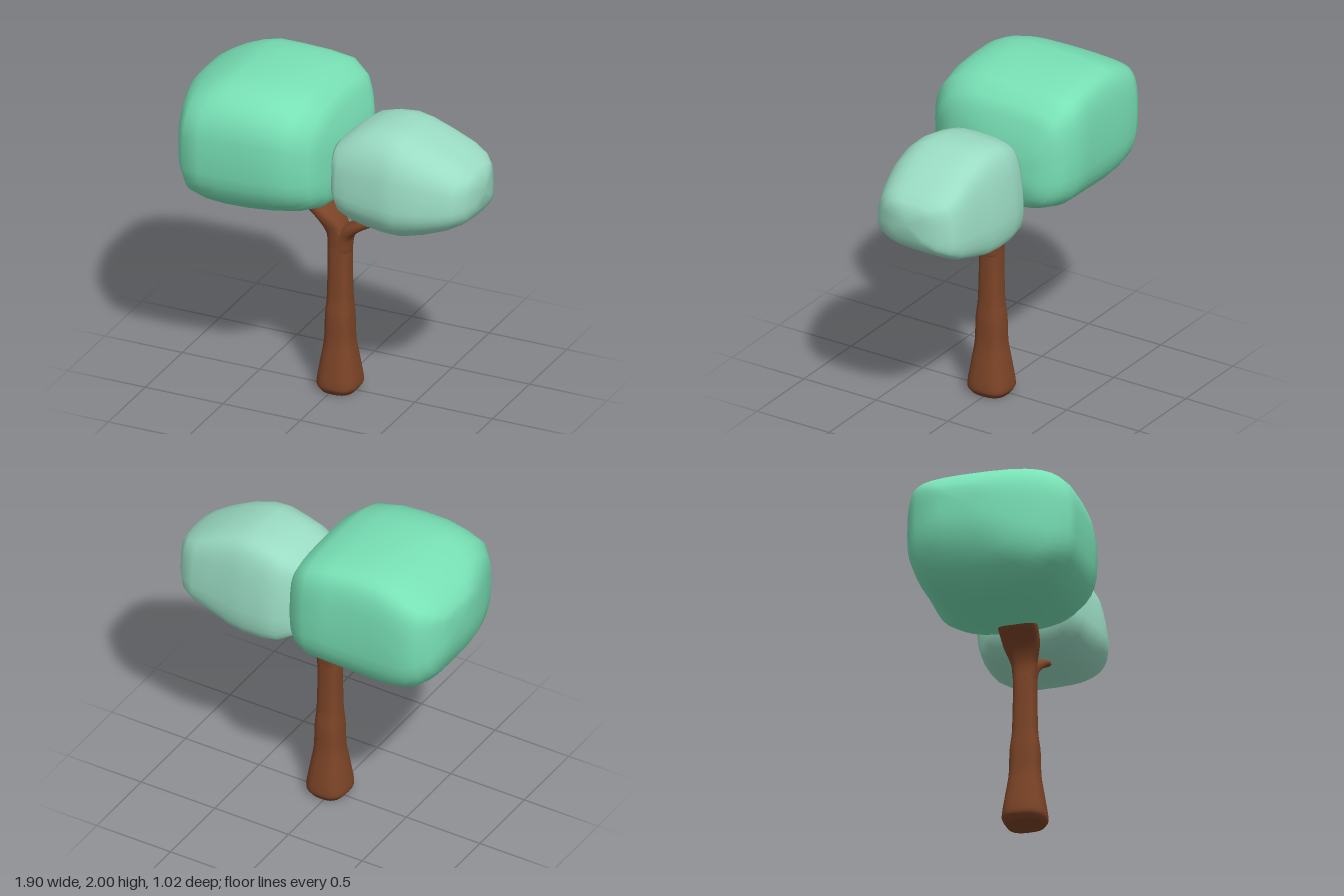
import * as THREE from 'three';

// Skin a list of closed rings, closing both ends on a centre point
function loft(rings, start, end) {
  const n = rings[0].length;
  const pos = rings.flat().concat([start, end]).flatMap((p) => p.toArray());
  const s = rings.length * n, e = s + 1, index = [];
  for (let i = 0; i < n; i++) {
    const j = (i + 1) % n, last = (rings.length - 1) * n;
    index.push(s, j, i, e, last + i, last + j);
    for (let r = 0; r < rings.length - 1; r++) {
      const a = r * n, b = a + n;
      index.push(a + i, a + j, b + i, a + j, b + j, b + i);
    }
  }
  const geo = new THREE.BufferGeometry();
  geo.setAttribute('position', new THREE.Float32BufferAttribute(pos, 3));
  geo.setIndex(index);
  geo.computeVertexNormals();
  return geo;
}

// Rounded square: a higher power gives squarer corners
const round = (v, power) => Math.sign(v) * Math.abs(v) ** (2 / power);

// Rounded sections along x; each station is [x, yMin, yMax, zMin, zMax].
// backTop and backBottom sharpen the two rear corners.
function foliage(stations, { power, backTop, backBottom }, start, end, warp = (p) => p) {
  const rings = stations.map(([x, y0, y1, z0, z1]) =>
    Array.from({ length: 40 }, (_, i) => {
      const a = (i / 40) * Math.PI * 2, c = Math.cos(a), s = Math.sin(a);
      const sharp = power + 2 * Math.max(0, -s) * Math.abs(c) * (c > 0 ? backTop : backBottom);
      return warp(new THREE.Vector3(x,
        (y0 + y1) / 2 + round(c, sharp) * (y1 - y0) / 2,
        (z0 + z1) / 2 + round(s, sharp) * (z1 - z0) / 2));
    }));
  return loft(rings, new THREE.Vector3(...start), new THREE.Vector3(...end));
}

// Limb in the xy plane with rounded-square sections; each point is [x, y, radius, zRadius]
function limb(points, steps, sides = 24) {
  const path = new THREE.CatmullRomCurve3(points.map(([x, y]) => new THREE.Vector3(x, y, 0.008)));
  const radii = new THREE.CatmullRomCurve3(points.map(([, , r, rz]) => new THREE.Vector3(r, rz, 0)));
  const rings = [];
  for (let k = 0; k <= steps; k++) {
    const c = path.getPoint(k / steps), t = path.getTangent(k / steps), r = radii.getPoint(k / steps);
    rings.push(Array.from({ length: sides }, (_, i) => {
      const a = (i / sides) * Math.PI * 2, u = round(Math.cos(a), 2.7) * r.x;
      return new THREE.Vector3(c.x - t.y * u, c.y + t.x * u, c.z + round(Math.sin(a), 2.7) * r.y);
    }));
  }
  return loft(rings, path.getPoint(0), path.getPoint(1));
}

export function createModel() {
  const tree = new THREE.Group();
  tree.name = 'tree';
  const bark = new THREE.MeshStandardMaterial({ color: 0x7c4427 });
  const green = new THREE.MeshStandardMaterial({ color: 0x78e0b5 });
  const paleGreen = new THREE.MeshStandardMaterial({ color: 0x9bdcc4 });
  const add = (name, geo, mat) => {
    const mesh = new THREE.Mesh(geo, mat);
    mesh.name = name;
    tree.add(mesh);
  };

  // Trunk flaring at the foot, with a slight swelling halfway up
  add('trunk', limb([
    [0.022, 0, 0.1, 0.11], [0.022, 0.045, 0.129, 0.132], [0.022, 0.18, 0.11, 0.114],
    [0.022, 0.33, 0.086, 0.092], [0.022, 0.48, 0.082, 0.088], [0.022, 0.6, 0.073, 0.074],
    [0.022, 0.8, 0.069, 0.069], [0.022, 0.95, 0.069, 0.068], [0.028, 1.04, 0.055, 0.07],
  ], 36), bark);

  // Two branches forming the fork, spreading in depth towards the tips
  add('rightBranch', limb([
    [0.022, 0.9, 0.067, 0.066], [0.008, 1.03, 0.062, 0.076],
    [-0.05, 1.13, 0.05, 0.11], [-0.135, 1.21, 0.045, 0.118], [-0.2, 1.26, 0.032, 0.1],
  ], 16), bark);
  add('leftBranch', limb([
    [0.024, 0.9, 0.067, 0.066], [0.062, 1.01, 0.046, 0.07],
    [0.14, 1.077, 0.032, 0.082], [0.25, 1.137, 0.025, 0.085], [0.36, 1.18, 0.018, 0.07],
  ], 16), bark);

  // Large crown, squarest along its upper back edge
  add('largeFoliage', foliage([
    [-0.943, 1.55, 1.75, -0.24, 0], [-0.93, 1.47, 1.79, -0.3, 0.1],
    [-0.89, 1.36, 1.845, -0.4, 0.24], [-0.83, 1.275, 1.885, -0.455, 0.41],
    [-0.76, 1.215, 1.925, -0.485, 0.5], [-0.66, 1.18, 1.97, -0.49, 0.51],
    [-0.55, 1.17, 2.0, -0.495, 0.51], [-0.4, 1.175, 2.0, -0.495, 0.51],
    [-0.25, 1.19, 1.99, -0.505, 0.505], [-0.1, 1.21, 1.96, -0.515, 0.48],
    [0, 1.235, 1.895, -0.465, 0.4], [0.04, 1.265, 1.82, -0.42, 0.29],
    [0.07, 1.32, 1.71, -0.37, 0.15], [0.09, 1.4, 1.63, -0.3, 0],
  ], { power: 2.9, backTop: 1.9, backBottom: 0.3 }, [-0.95, 1.66, -0.1], [0.1, 1.5, -0.18]), green);

  // Small crown: narrower at the top, with a low, square lower back edge
  add('smallFoliage', foliage([
    [0.065, 1.42, 1.66, -0.06, 0.23], [0.085, 1.3, 1.68, -0.18, 0.275],
    [0.12, 1.21, 1.71, -0.28, 0.295], [0.2, 1.17, 1.765, -0.335, 0.32],
    [0.3, 1.15, 1.795, -0.345, 0.335], [0.42, 1.145, 1.81, -0.345, 0.36],
    [0.52, 1.15, 1.795, -0.335, 0.368], [0.65, 1.185, 1.75, -0.315, 0.345],
    [0.78, 1.23, 1.685, -0.305, 0.3], [0.86, 1.275, 1.635, -0.275, 0.26],
    [0.91, 1.315, 1.6, -0.21, 0.2], [0.938, 1.37, 1.56, -0.12, 0.11],
  ], { power: 2.9, backTop: 1.2, backBottom: 2 }, [0.06, 1.55, 0.08], [0.95, 1.47, 0], (p) => {
    const low = THREE.MathUtils.clamp((1.5 - p.y) / 0.3, 0, 1);
    const high = THREE.MathUtils.clamp((p.y - 1.35) / 0.4, 0, 1);
    p.y += low * 0.04 * p.z;
    p.z *= 1 - 0.14 * high;
    return p;
  }), paleGreen);

  return tree;
}
